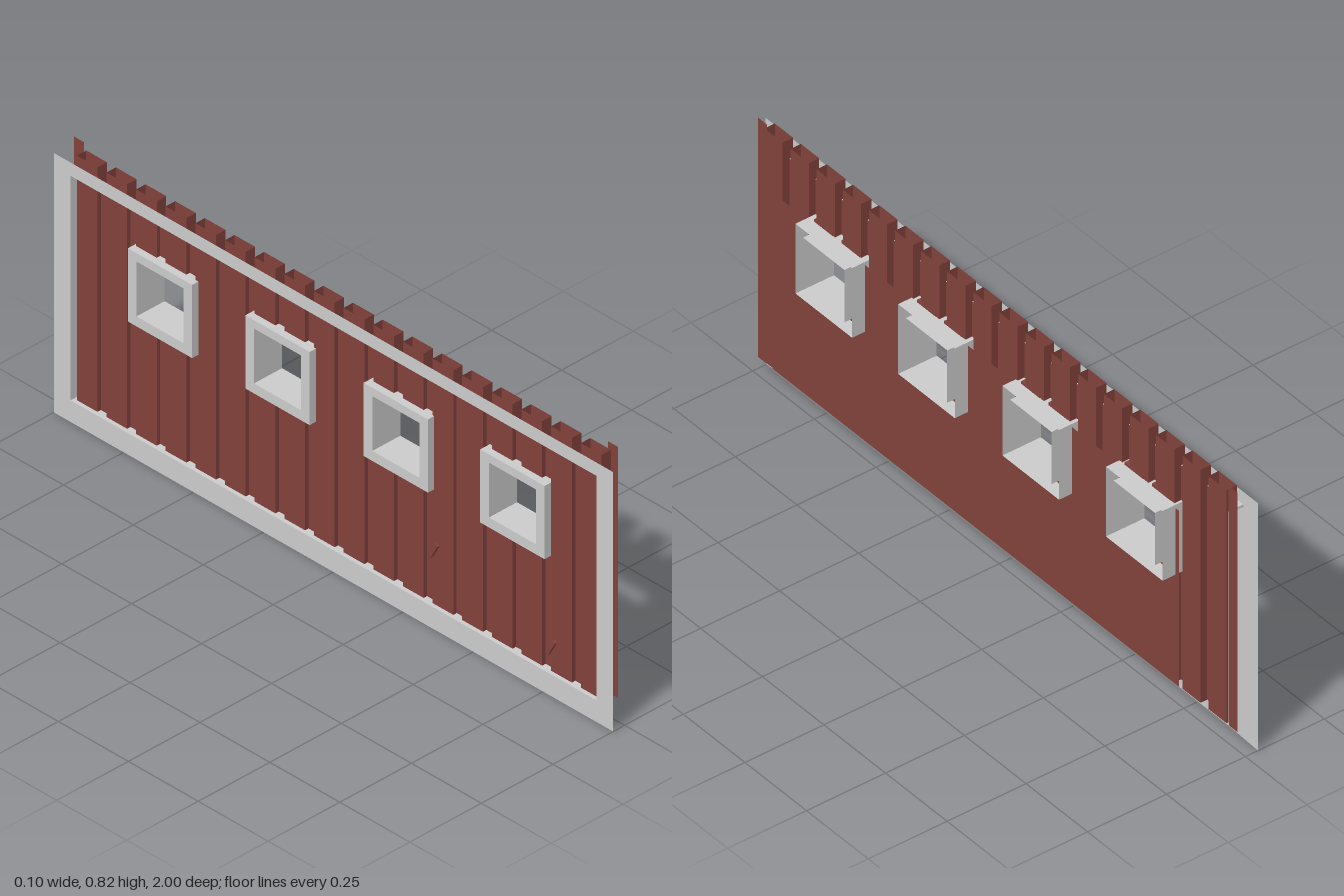
import * as THREE from 'three';

const RED = 0x82413b;
const make = (color, side) => new THREE.MeshStandardMaterial({ color, side, flatShading: true });
const red = make(RED, THREE.DoubleSide);
const grey = make(0xcccccc, THREE.DoubleSide);
const greyFront = make(0xcccccc, THREE.FrontSide);

const WINDOWS = [0.65, 0.233, -0.19, -0.61];
const HOLE = { y0: 0.44, y1: 0.605, half: 0.084 };
const SHELL = { y0: 0.41, y1: 0.63, half: 0.115 };

export function createModel() {
  const model = new THREE.Group();

  const add = (name, geometry, material, parent = model) => {
    const mesh = new THREE.Mesh(geometry, material);
    mesh.name = name;
    parent.add(mesh);
    return mesh;
  };

  // Box given by its limits, without the two faces across the open axis
  const openBox = (x0, x1, y0, y1, z0, z1, openAxis) => {
    const g = new THREE.BoxGeometry(x1 - x0, y1 - y0, z1 - z0);
    g.translate((x0 + x1) / 2, (y0 + y1) / 2, (z0 + z1) / 2);
    const skip = { x: 0, y: 12, z: 24 }[openAxis];
    g.setIndex([...g.index.array].filter((_, i) => i < skip || i >= skip + 12));
    g.clearGroups();
    return g;
  };

  // Flat upright sheet facing +x, with rectangular holes
  const rect = (target, z0, z1, y0, y1) => {
    target.moveTo(-z1, y0).lineTo(-z0, y0).lineTo(-z0, y1).lineTo(-z1, y1).closePath();
    return target;
  };
  const sheet = (x, z0, z1, y0, y1, holes = []) => {
    const s = rect(new THREE.Shape(), z0, z1, y0, y1);
    holes.forEach((h) => s.holes.push(rect(new THREE.Path(), ...h)));
    return new THREE.ShapeGeometry(s).rotateY(Math.PI / 2).translate(x, 0, 0);
  };

  const windowHoles = WINDOWS.map((z) => [z - HOLE.half, z + HOLE.half, HOLE.y0, HOLE.y1]);

  // Surround: back face, inner ledge, bevels at the ends and the bottom
  const surround = new THREE.Group();
  surround.name = 'surround';
  model.add(surround);
  add('surroundBack', sheet(-0.04, -1, 1, 0, 0.78, [[-0.94, 0.94, 0.065, 0.74]]), grey, surround);
  add('surroundLedge', openBox(-0.04, -0.016, 0.065, 0.74, -0.94, 0.94, 'x'), grey, surround);
  const outer = (y, s) => [-0.04, y, s];
  const inner = (y, s) => [0.007, y, 0.94 * s];
  const bevels = [
    [outer(0, 1), inner(0.065, 1), inner(0.74, 1), outer(0.78, 1)],
    [outer(0.78, -1), inner(0.74, -1), inner(0.065, -1), outer(0, -1)],
    [outer(0, 1), outer(0, -1), inner(0.065, -1), inner(0.065, 1)],
  ];
  const bevel = new THREE.BufferGeometry();
  const corners = bevels.flatMap((q) => [0, 1, 2, 0, 2, 3].flatMap((i) => q[i]));
  bevel.setAttribute('position', new THREE.Float32BufferAttribute(corners, 3));
  bevel.computeVertexNormals();
  add('surroundBevel', bevel, greyFront, surround);

  // Sheet behind the planks and the large outer panel
  add('backingSheet', sheet(-0.016, -0.94, 0.94, 0.065, 0.74, windowHoles), red);
  add('outerPanel', sheet(0.007, -0.74, 0.91, 0.065, 0.62, windowHoles), red);

  // Row of hollow planks, cut where a window passes through
  const planks = new THREE.Group();
  planks.name = 'planks';
  model.add(planks);
  for (let i = 0; i < 18; i++) {
    const z = 0.909 - i * 0.106;
    const cut = WINDOWS.some((w) => Math.abs(w - z) < HOLE.half + 0.038);
    const spans = cut ? [[0.065, SHELL.y0 + 0.01], [SHELL.y1 - 0.01, 0.8]] : [[0.065, 0.8]];
    spans.forEach(([y0, y1]) =>
      add('plank', openBox(-0.028, 0.005, y0, y1, z - 0.037, z + 0.037, 'y'), red, planks));
  }

  // Flat end posts
  [0.953, -0.957].forEach((z) => add('endPost', sheet(0.006, z - 0.018, z + 0.018, 0.065, 0.82), red));

  // Loose splinters on the back
  [[0.35, 0.23], [0.77, 0.14]].forEach(([z, y]) => {
    const splinter = add('splinter', new THREE.BoxGeometry(0.012, 0.05, 0.012), red);
    splinter.position.set(-0.03, y, z);
    splinter.rotation.x = 0.5;
  });

  // Windows: outer shell, through tube and back face, with two caps above
  WINDOWS.forEach((z) => {
    const win = new THREE.Group();
    win.name = 'window';
    model.add(win);
    const hole = [z - HOLE.half, z + HOLE.half];
    const rim = [z - SHELL.half, z + SHELL.half];
    add('windowShell', openBox(-0.05, 0.048, SHELL.y0, SHELL.y1, ...rim, 'x'), grey, win);
    add('windowTube', openBox(-0.05, 0.048, HOLE.y0, HOLE.y1, ...hole, 'x'), grey, win);
    add('windowBack', sheet(-0.05, ...rim, SHELL.y0, SHELL.y1, [[...hole, HOLE.y0, HOLE.y1]]), grey, win);
    [-1, 1].forEach((s) => {
      const cap = add('plankCap', new THREE.BoxGeometry(0.022, 0.008, 0.075), red, win);
      cap.position.set(-0.005, SHELL.y1 + 0.004, z + s * 0.055);
    });
  });

  return model;
}
